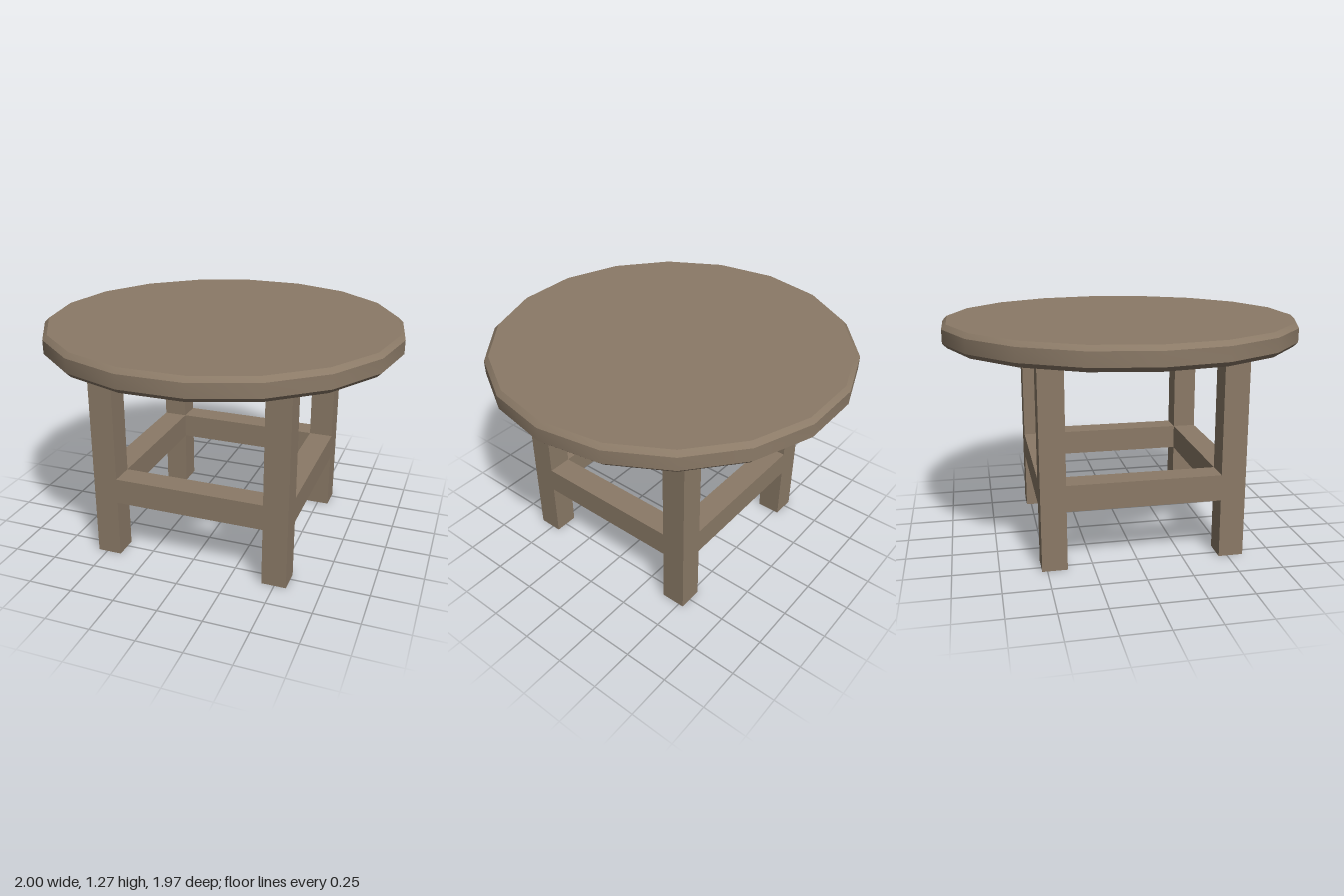
import * as THREE from 'three';
import { toCreasedNormals } from 'three/addons/utils/BufferGeometryUtils.js';

export function createModel() {
  const table = new THREE.Group();
  table.name = 'roundTable';
  const wood = new THREE.MeshStandardMaterial({ color: 0x8b7a67 });
  wood.name = 'brown wood';

  const add = (name, geometry, x, y, z) => {
    const mesh = new THREE.Mesh(geometry, wood);
    mesh.name = name;
    mesh.position.set(x, y, z);
    table.add(mesh);
    return mesh;
  };

  // Eighteen-sided top with bevelled rims
  const profile = [[0, 1.15], [0.975, 1.15], [1, 1.175], [1, 1.25], [0.975, 1.275], [0, 1.275]]
    .map(([r, y]) => new THREE.Vector2(r, y));
  const top = new THREE.LatheGeometry(profile, 18).rotateY(Math.PI / 2);
  add('tableTop', toCreasedNormals(top, 0.5), 0, 0, 0);

  // The base sits slightly off the centre of the top
  const cx = 0.007, cz = 0.03, size = 0.137;
  const halfX = 0.49, halfZ = 0.49;
  const railY = 0.403, railHeight = 0.145;

  // Square legs
  for (const sx of [-1, 1]) for (const sz of [-1, 1]) {
    const name = (sz > 0 ? 'front' : 'back') + (sx > 0 ? 'Left' : 'Right') + 'Leg';
    add(name, new THREE.BoxGeometry(size, 1.15, size), cx + sx * halfX, 0.575, cz + sz * halfZ);
  }

  // Stretcher rails flush with the legs
  for (const s of [-1, 1]) {
    add(s > 0 ? 'frontRail' : 'backRail',
      new THREE.BoxGeometry(2 * halfX - size, railHeight, size), cx, railY, cz + s * halfZ);
    add(s > 0 ? 'leftRail' : 'rightRail',
      new THREE.BoxGeometry(size, railHeight, 2 * halfZ - size), cx + s * halfX, railY, cz);
  }
  return table;
}
